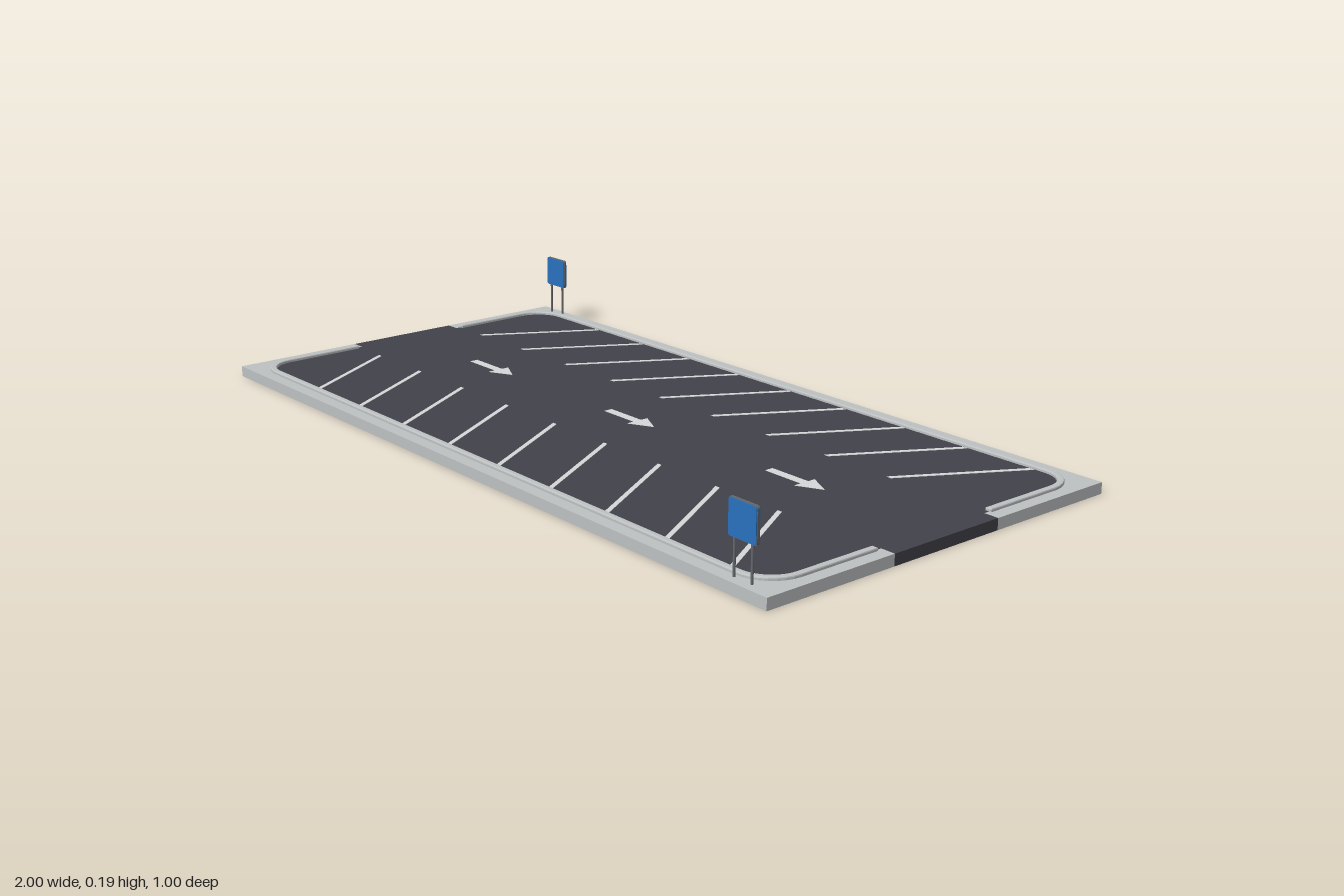
import * as THREE from 'three';

const mat = (name, color) => {
  const m = new THREE.MeshStandardMaterial({ color });
  m.name = name;
  return m;
};

export function createModel() {
  const asphalt = mat('asphalt', 0x42424a);
  const concrete = mat('concrete', 0xbfc2c3);
  const paint = mat('road paint', 0xd6d8d9);
  const steel = mat('steel', 0x66696d);
  const blue = mat('sign blue', 0x2a72bf);

  const TOP = 0.027, GAP = 0.155;
  const lot = new THREE.Group();
  lot.name = 'parkingLot';

  const add = (parent, name, geometry, material, x = 0, y = 0, z = 0) => {
    const mesh = new THREE.Mesh(geometry, material);
    mesh.name = name;
    mesh.position.set(x, y, z);
    parent.add(mesh);
    return mesh;
  };

  // U-shaped outline with rounded corners, from +x to -x along the +z side
  const uPath = (x, z, r, zEnd) => {
    const pts = [[x, zEnd]];
    for (const side of [0, 1]) {
      for (let i = 0; i <= 8; i++) {
        const a = (side + i / 8) * Math.PI / 2;
        pts.push([(side ? r - x : x - r) + r * Math.cos(a), z - r + r * Math.sin(a)]);
      }
    }
    pts.push([-x, zEnd]);
    return pts;
  };

  // Flat plan outline (x, z) extruded downwards from y = 0
  const slab = (pts, depth, bevel = 0) => {
    const shape = new THREE.Shape(pts.map(([x, z]) => new THREE.Vector2(x, z)));
    const g = new THREE.ExtrudeGeometry(shape, {
      depth: depth - 2 * bevel, bevelEnabled: bevel > 0, bevelSize: bevel,
      bevelThickness: bevel, bevelOffset: -bevel, bevelSegments: 2,
    });
    g.translate(0, 0, bevel);
    return g.rotateX(Math.PI / 2);
  };

  // Roadway running through the openings at both ends
  const inner = uPath(0.963, 0.463, 0.085, GAP);
  const half = [[1, GAP], ...inner, [-1, GAP]];
  const road = [...half, ...half.map(([x, z]) => [-x, -z])];
  add(lot, 'roadway', slab(road, TOP), asphalt, 0, TOP);

  // Pavement and raised kerb on each long side
  const pavement = [[1, GAP], [1, 0.5], [-1, 0.5], [-1, GAP], ...[...inner].reverse()];
  const kerb = [...uPath(0.969, 0.469, 0.09, 0.17), ...uPath(0.953, 0.453, 0.074, 0.17).reverse()];
  for (const turn of [0, Math.PI]) {
    add(lot, 'pavement', slab(pavement, TOP), concrete, 0, TOP).rotation.y = turn;
    add(lot, 'kerb', slab(kerb, 0.012, 0.003), concrete, 0, 0.0347).rotation.y = turn;
  }

  // Slanted bay lines, mirrored across the lane
  for (const s of [1, -1]) {
    for (let i = 0; i < 9; i++) {
      const x0 = -0.855 + i * 0.1925, x1 = x0 + 0.163, w = 0.0065;
      const line = [[x0 - w, s * 0.165], [x0 + w, s * 0.165], [x1 + w, s * 0.45], [x1 - w, s * 0.45]];
      add(lot, 'bayLine', slab(line, 0.001), paint, 0, TOP + 0.001);
    }
  }

  // Direction arrows along the lane
  const arrow = [[-0.086, -0.011], [0.026, -0.011], [0.026, -0.031], [0.087, 0],
    [0.026, 0.031], [0.026, 0.011], [-0.086, 0.011]];
  for (const x of [-0.569, -0.002, 0.565]) {
    add(lot, 'directionArrow', slab(arrow, 0.001), paint, x, TOP + 0.001);
  }

  // Rounded square plate standing upright, centred on its own origin
  const plate = (size, r, depth) => {
    const h = size / 2, s = new THREE.Shape();
    s.moveTo(h, h - r);
    s.absarc(h - r, h - r, r, 0, Math.PI / 2);
    s.absarc(r - h, h - r, r, Math.PI / 2, Math.PI);
    s.absarc(r - h, r - h, r, Math.PI, Math.PI * 1.5);
    s.absarc(h - r, r - h, r, Math.PI * 1.5, Math.PI * 2);
    const g = new THREE.ExtrudeGeometry(s, { depth, bevelEnabled: false, curveSegments: 4 });
    return g.translate(0, 0, -depth / 2);
  };

  // Two-post signs at opposite corners, blue on both faces
  for (const [x, z] of [[-0.917, -0.479], [0.91, 0.477]]) {
    const sign = new THREE.Group();
    sign.name = 'sign';
    sign.position.set(x, 0, z);
    for (const px of [-0.025, 0.025]) {
      add(sign, 'signPost', new THREE.CylinderGeometry(0.003, 0.003, 0.1, 10), steel, px, 0.073, 0);
    }
    add(sign, 'signFrame', plate(0.08, 0.006, 0.006), steel, 0, 0.148, 0);
    for (const s of [1, -1]) {
      add(sign, 'signFace', plate(0.077, 0.005, 0.002), blue, 0, 0.148, s * 0.004);
    }
    lot.add(sign);
  }

  return lot;
}
